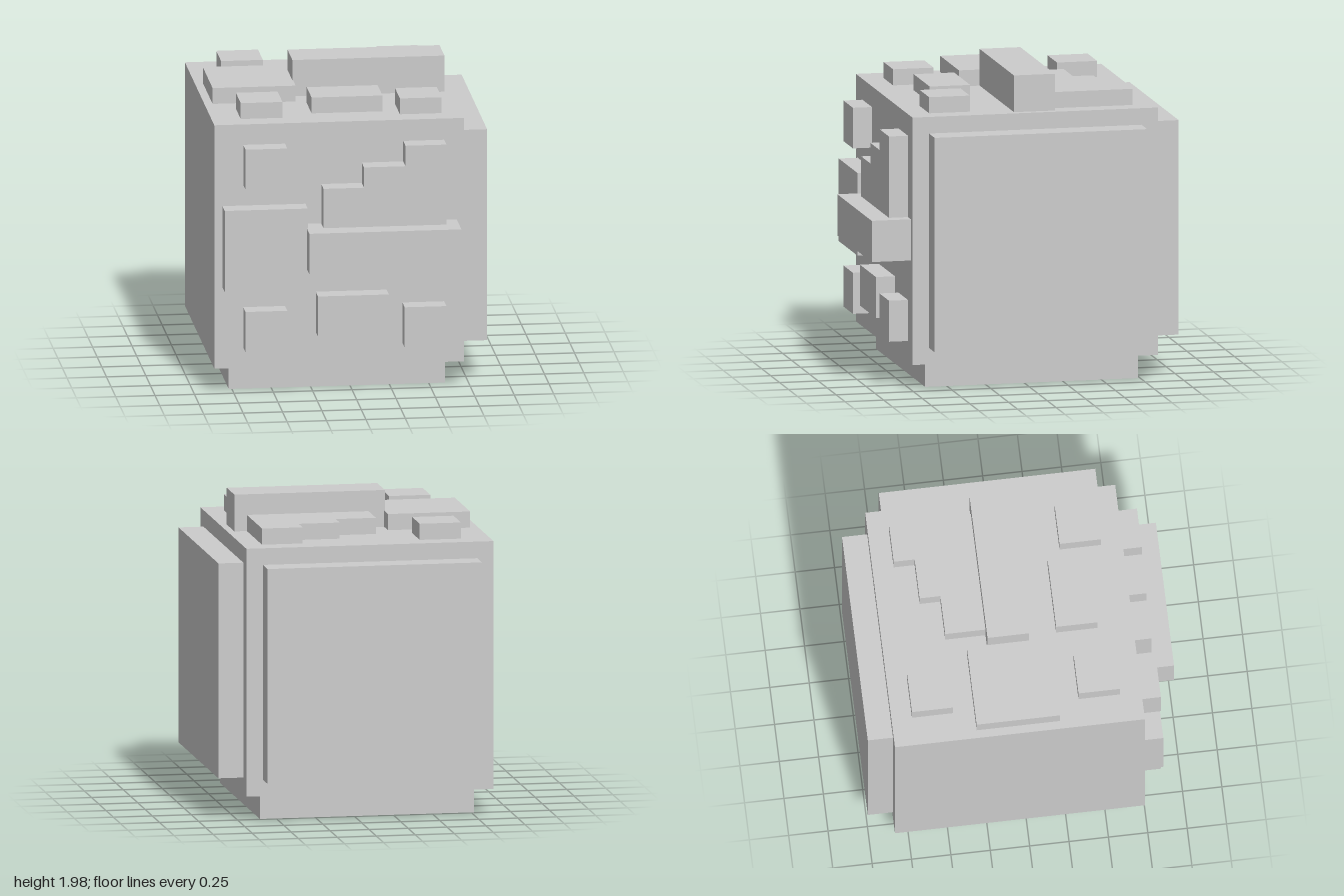
import * as THREE from 'three';

const material = new THREE.MeshStandardMaterial({ color: 0xcccccc, flatShading: true });

// Box given by its lower and upper limits on each axis
function box(name, [x0, x1], [y0, y1], [z0, z1]) {
  const mesh = new THREE.Mesh(new THREE.BoxGeometry(x1 - x0, y1 - y0, z1 - z0), material);
  mesh.position.set((x0 + x1) / 2, (y0 + y1) / 2, (z0 + z1) / 2);
  mesh.name = name;
  return mesh;
}

// Raised relief laid out in x/y about the face centre, rising along +z
function relief(name, low, high) {
  const group = new THREE.Group();
  group.name = name;
  const depth = [0, low];

  // corner studs
  group.add(
    box('upperStud', [-0.69, -0.425], [0.4, 0.66], depth),
    box('lowerLeftStud', [-0.69, -0.425], [-0.66, -0.397], depth),
    box('lowerRightStud', [0.32, 0.585], [-0.66, -0.397], depth),
  );

  // wide stud, square plate and tall crossbar
  group.add(
    box('wideStud', [-0.23, 0.22], [-0.572, -0.31], depth),
    box('squarePlate', [-0.822, -0.295], [-0.264, 0.265], depth),
    box('crossbar', [-0.3, 0.665], [-0.13, 0.134], [0, high]),
  );

  // staircase block above the crossbar
  const steps = new THREE.Shape();
  steps.moveTo(-0.195, 0.134);
  steps.lineTo(0.585, 0.134);
  steps.lineTo(0.585, 0.655);
  steps.lineTo(0.325, 0.655);
  steps.lineTo(0.325, 0.522);
  steps.lineTo(0.062, 0.522);
  steps.lineTo(0.062, 0.39);
  steps.lineTo(-0.195, 0.39);
  const stairs = new THREE.Mesh(
    new THREE.ExtrudeGeometry(steps, { depth: low, bevelEnabled: false }), material);
  stairs.name = 'staircase';
  group.add(stairs);
  return group;
}

export function createModel() {
  const model = new THREE.Group();
  model.name = 'reliefCube';

  // central cube
  const cubeX = [-0.874, 0.71], cubeY = [0.163, 1.748], cubeZ = [-0.84, 0.747];
  model.add(box('cube', cubeX, cubeY, cubeZ));

  // plain raised panels on the +x side, back and underside
  const panelX = [-0.77, 0.604], panelY = [0.268, 1.642], panelZ = [-0.735, 0.64];
  model.add(
    box('sidePanel', [cubeX[1], 0.87], panelY, panelZ),
    box('backPanel', panelX, panelY, [-1, cubeZ[0]]),
    box('bottomPanel', panelX, [0, cubeY[0]], panelZ),
  );

  // the same relief on the front and, tipped back, on the top
  const front = relief('frontRelief', 0.123, 0.253);
  front.position.set(0, 0.955, cubeZ[1]);
  const top = relief('topRelief', 0.103, 0.235);
  top.rotation.x = -Math.PI / 2;
  top.position.set(0, cubeY[1], -0.05);
  model.add(front, top);

  return model;
}
